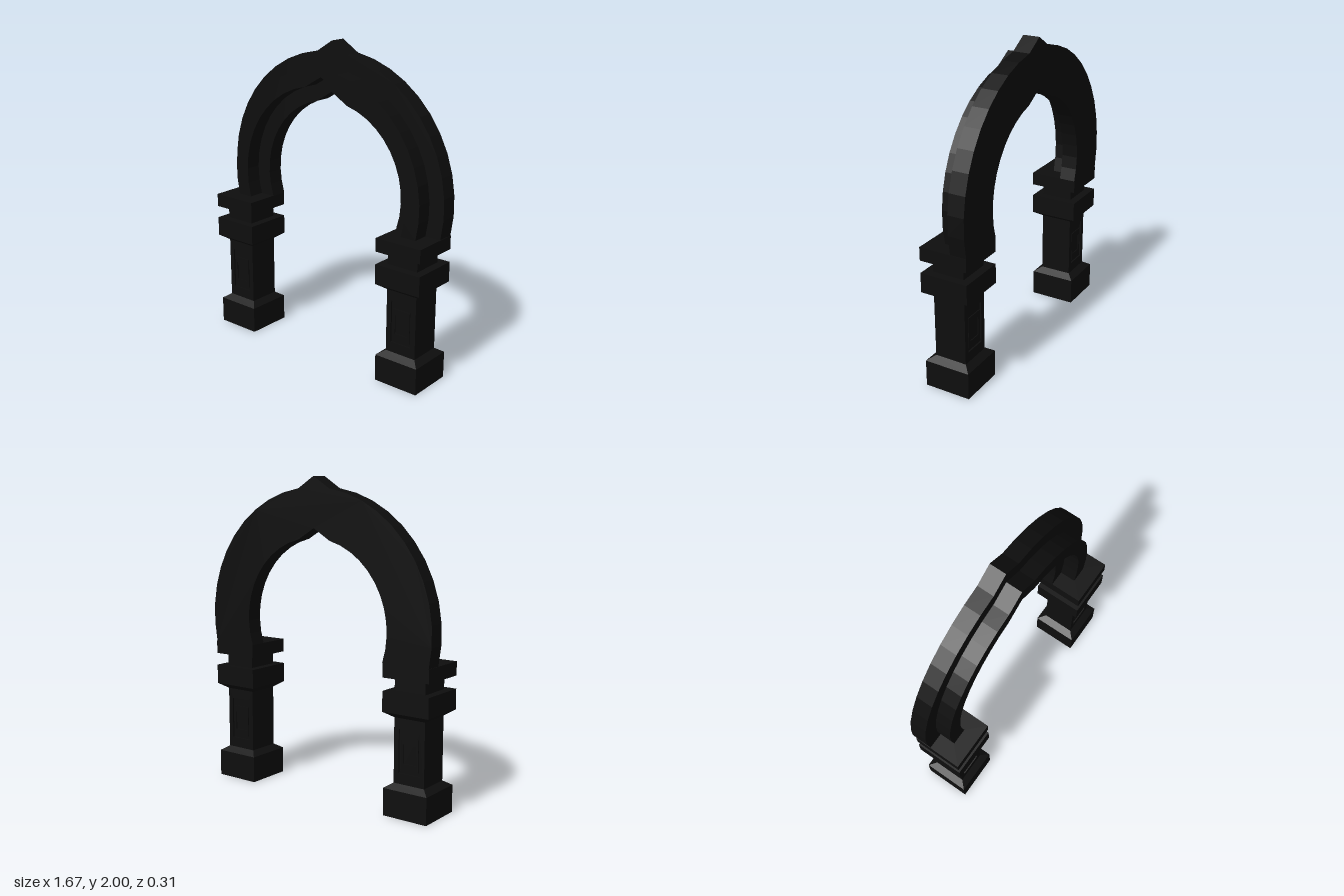
import * as THREE from 'three';

const blackStone = new THREE.MeshStandardMaterial({ color: 0x0e0e0e, flatShading: true });
blackStone.name = 'black stone';

function add(parent, name, geometry, x = 0, y = 0, z = 0) {
  const mesh = new THREE.Mesh(geometry, blackStone);
  mesh.name = name;
  mesh.position.set(x, y, z);
  parent.add(mesh);
  return mesh;
}

// Square moulding from [half width, height] pairs
function squareMoulding(profile) {
  const points = profile.map(([half, y]) => new THREE.Vector2(half * Math.SQRT2, y));
  return new THREE.LatheGeometry(points, 4, Math.PI / 4);
}

function rectPath(path, w, h) {
  path.moveTo(-w / 2, -h / 2);
  path.lineTo(w / 2, -h / 2);
  path.lineTo(w / 2, h / 2);
  path.lineTo(-w / 2, h / 2);
  path.closePath();
  return path;
}

// Right half of a pointed arc; t = 0 is the inner rim, t = 1 the outer rim
function halfArc(t) {
  const lerp = THREE.MathUtils.lerp;
  const centreY = 1.1, foot = 0.925, steps = 11;
  const r = lerp(0.532, 0.835, t);
  const start = Math.asin((foot - centreY) / r);
  const end = THREE.MathUtils.degToRad(lerp(77, 82, t));
  const points = [];
  for (let i = 0; i <= steps; i++) {
    const a = lerp(start, end, i / steps);
    points.push(new THREE.Vector2(r * Math.cos(a), centreY + r * Math.sin(a)));
  }
  points.push(new THREE.Vector2(0, lerp(1.69, 2, t)));
  return points;
}

// Pointed arch band between two rims
function archBand(inner, outer, depth) {
  const full = (t) => {
    const half = halfArc(t);
    const mirrored = half.slice(0, -1).reverse().map((p) => new THREE.Vector2(-p.x, p.y));
    return [...half, ...mirrored];
  };
  const shape = new THREE.Shape([...full(outer), ...full(inner).reverse()]);
  return new THREE.ExtrudeGeometry(shape, { depth, bevelEnabled: false });
}

function makePillar(name, x) {
  const pillar = new THREE.Group();
  pillar.name = name;
  pillar.position.x = x;

  add(pillar, 'base', squareMoulding([[0, 0], [0.15, 0], [0.15, 0.17], [0.105, 0.2], [0, 0.2]]));
  add(pillar, 'shaft', new THREE.BoxGeometry(0.21, 0.4, 0.19), 0, 0.4, 0);
  add(pillar, 'capital', squareMoulding([
    [0, 0.6], [0.105, 0.6], [0.157, 0.635], [0.157, 0.76], [0.105, 0.76],
    [0.105, 0.84], [0.157, 0.84], [0.157, 0.925], [0, 0.925],
  ]));

  // Recessed panels on the front and back of the shaft
  const frame = rectPath(new THREE.Shape(), 0.21, 0.4);
  frame.holes.push(rectPath(new THREE.Path(), 0.145, 0.27));
  const ring = rectPath(new THREE.Shape(), 0.12, 0.2);
  ring.holes.push(rectPath(new THREE.Path(), 0.09, 0.12));
  for (const [side, turn] of [['front', 0], ['back', Math.PI]]) {
    const panel = new THREE.Group();
    panel.name = side + 'Panel';
    panel.rotation.y = turn;
    pillar.add(panel);
    add(panel, 'panelFrame', new THREE.ExtrudeGeometry(frame, { depth: 0.01, bevelEnabled: false }), 0, 0.4, 0.095);
    add(panel, 'panelMoulding', new THREE.ExtrudeGeometry(ring, { depth: 0.006, bevelEnabled: false }), 0, 0.385, 0.095);
  }
  return pillar;
}

export function createModel() {
  const model = new THREE.Group();
  model.name = 'pointedArchway';

  model.add(makePillar('leftPillar', 0.663), makePillar('rightPillar', -0.663));

  // Wide back band with a narrower raised rib in front
  add(model, 'archBack', archBand(0, 1, 0.107), 0, 0, -0.157);
  add(model, 'archRib', archBand(1 / 3, 2 / 3, 0.103), 0, 0, -0.05);
  return model;
}
